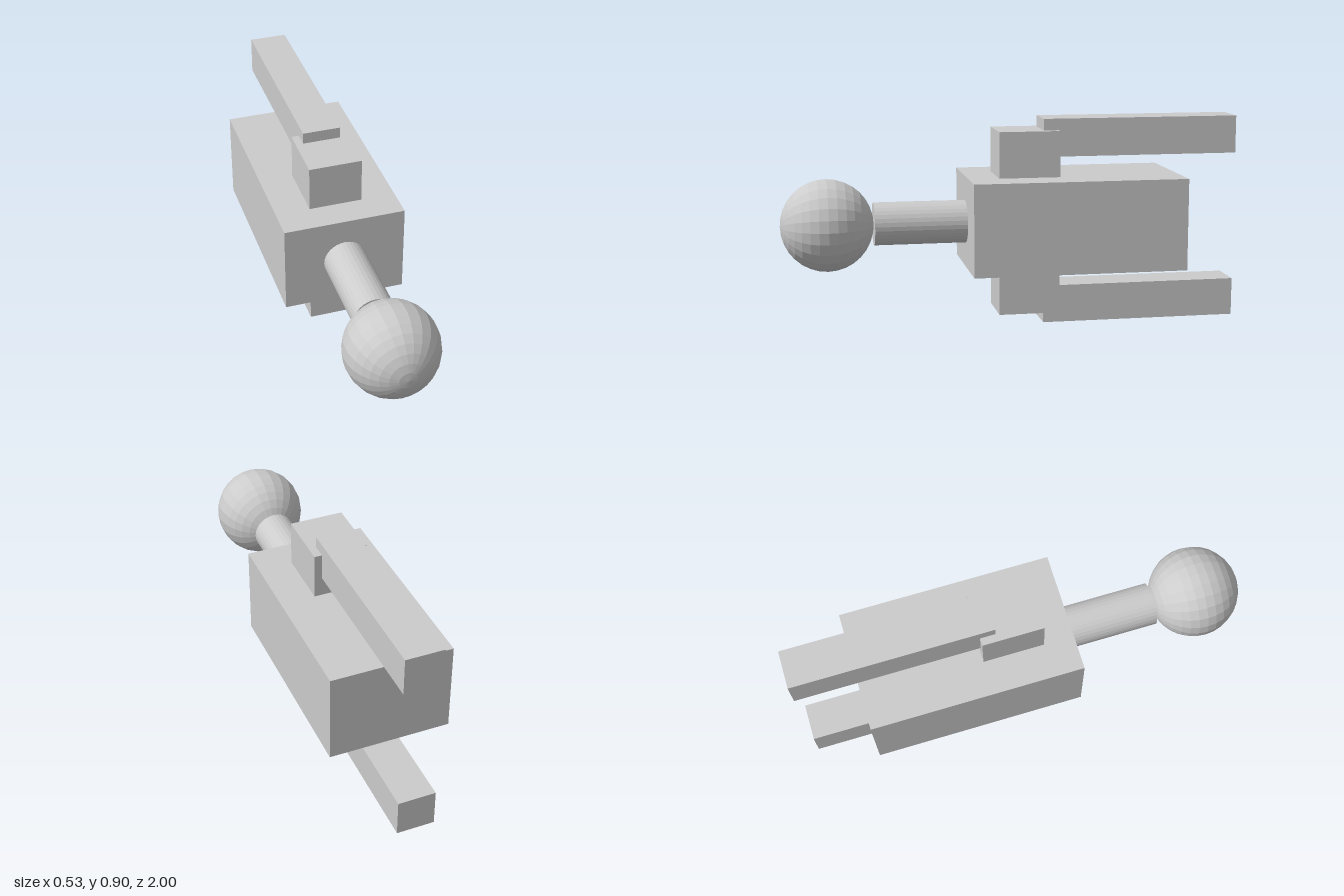
import * as THREE from 'three';

const material = new THREE.MeshStandardMaterial({ color: 0xcccccc, flatShading: true });
const MID_Y = 0.45;

function addPart(parent, name, geometry, y, z) {
  const mesh = new THREE.Mesh(geometry, material);
  mesh.name = name;
  mesh.position.set(0, y, z);
  parent.add(mesh);
  return mesh;
}

// Box centred on x = 0, given its width and its y and z extents
function addBox(parent, name, width, y0, y1, z0, z1) {
  const geometry = new THREE.BoxGeometry(width, y1 - y0, z1 - z0);
  return addPart(parent, name, geometry, (y0 + y1) / 2, (z0 + z1) / 2);
}

export function createModel() {
  const model = new THREE.Group();
  model.name = 'model';

  // Main block
  addBox(model, 'body', 0.532, 0.25, 0.65, -0.732, 0.2);

  // Neck and faceted ball, both with their axis along z
  const neck = new THREE.CylinderGeometry(0.093, 0.093, 0.4, 32).rotateX(Math.PI / 2);
  addPart(model, 'neck', neck, MID_Y, 0.4);
  const ball = new THREE.SphereGeometry(0.2, 24, 16).rotateX(Math.PI / 2);
  addPart(model, 'ball', ball, MID_Y, 0.8);

  // Mount and rearward bar, mirrored above and below the body
  for (const [label, side] of [['upper', 1], ['lower', -1]]) {
    const arm = new THREE.Group();
    arm.name = label + 'Arm';
    const box = (name, width, inner, outer, z0, z1) => {
      const a = MID_Y + side * inner, b = MID_Y + side * outer;
      addBox(arm, name, width, Math.min(a, b), Math.max(a, b), z0, z1);
    };
    box(label + 'Mount', 0.232, 0.2, 0.4, -0.2, 0.067);
    box(label + 'Bar', 0.165, 0.285, 0.45, -1, -0.134);
    model.add(arm);
  }

  return model;
}
